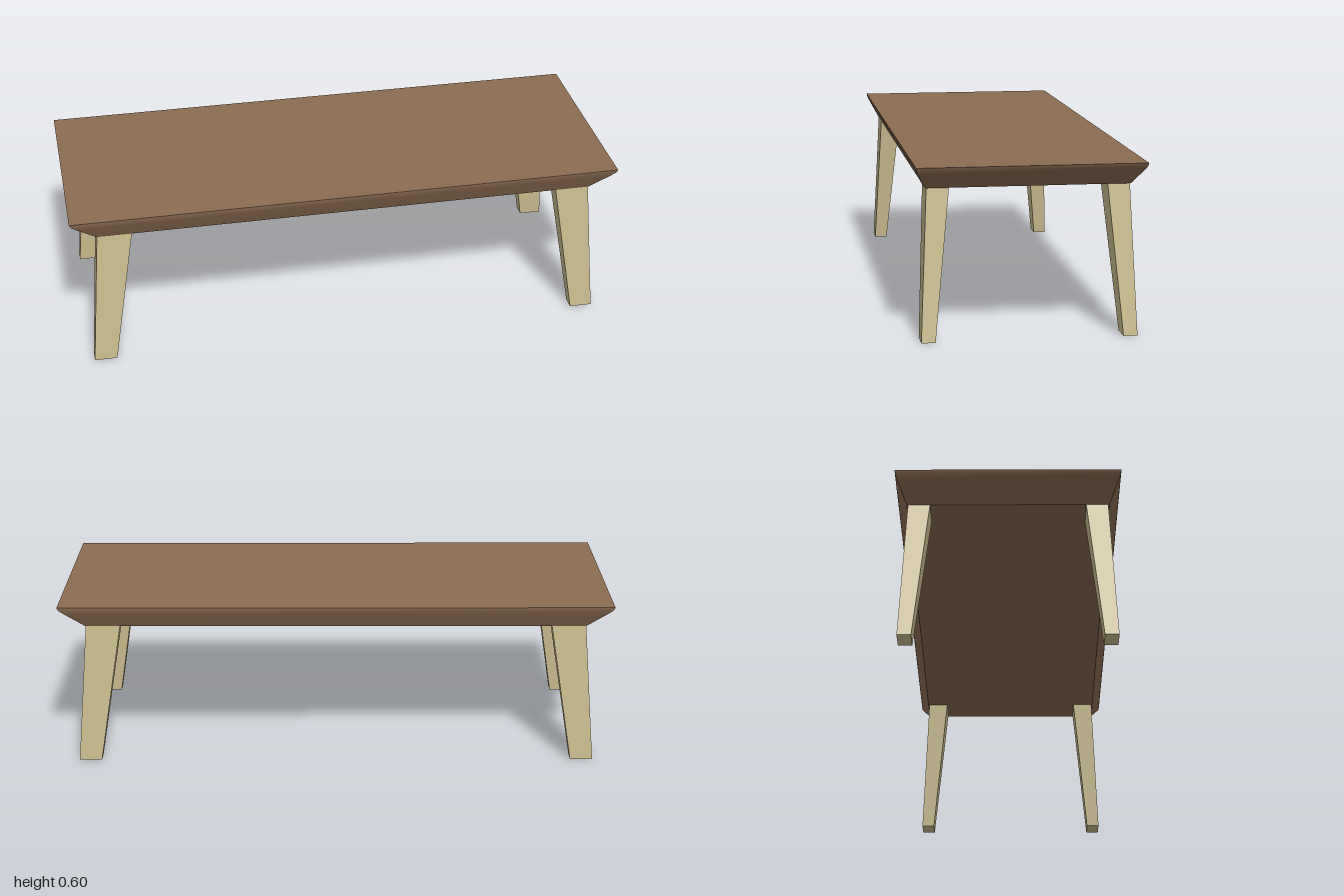
import * as THREE from 'three';
import { toCreasedNormals } from 'three/addons/utils/BufferGeometryUtils.js';

// Lofts rectangles [y, x0, x1, z0, z1], listed from bottom to top, into a closed solid.
function loftRects(rows) {
  const pos = [], index = [];
  for (const [y, x0, x1, z0, z1] of rows) {
    pos.push(x0, y, z1, x1, y, z1, x1, y, z0, x0, y, z0);
  }
  for (let r = 0; r < rows.length - 1; r++) {
    for (let i = 0; i < 4; i++) {
      const a = r * 4 + i, b = r * 4 + (i + 1) % 4;
      index.push(a, b, b + 4, a, b + 4, a + 4);
    }
  }
  const t = (rows.length - 1) * 4;
  index.push(0, 2, 1, 0, 3, 2, t, t + 1, t + 2, t, t + 2, t + 3);
  const geometry = new THREE.BufferGeometry();
  geometry.setAttribute('position', new THREE.Float32BufferAttribute(pos, 3));
  geometry.setIndex(index);
  return toCreasedNormals(geometry, 0.55);
}

export function createModel() {
  const model = new THREE.Group();
  model.name = 'coffeeTable';
  const brownWood = new THREE.MeshStandardMaterial({ color: 0x8c6c51 });
  brownWood.name = 'brownWood';
  const paleWood = new THREE.MeshStandardMaterial({ color: 0xcdbf90 });
  paleWood.name = 'paleWood';

  // Tabletop with a softly curved, undercut edge: [y, half width, half depth]
  const profile = [
    [0.517, 0.905, 0.348],
    [0.572, 0.975, 0.377],
    [0.588, 0.994, 0.385],
    [0.6, 1, 0.387],
  ];
  const top = new THREE.Mesh(
    loftRects(profile.map(([y, w, d]) => [y, -w, w, -d, d])), brownWood);
  top.name = 'tabletop';
  model.add(top);

  // Four splayed legs, tapering towards the floor
  for (const sx of [-1, 1]) {
    for (const sz of [-1, 1]) {
      const section = (y, xIn, xOut, zIn, zOut) => [
        y,
        Math.min(sx * xIn, sx * xOut), Math.max(sx * xIn, sx * xOut),
        Math.min(sz * zIn, sz * zOut), Math.max(sz * zIn, sz * zOut),
      ];
      const leg = new THREE.Mesh(loftRects([
        section(0, 0.865, 0.947, 0.32, 0.368),
        section(0.52, 0.78, 0.904, 0.268, 0.344),
      ]), paleWood);
      leg.name = (sz > 0 ? 'front' : 'back') + (sx > 0 ? 'Left' : 'Right') + 'Leg';
      model.add(leg);
    }
  }
  return model;
}
